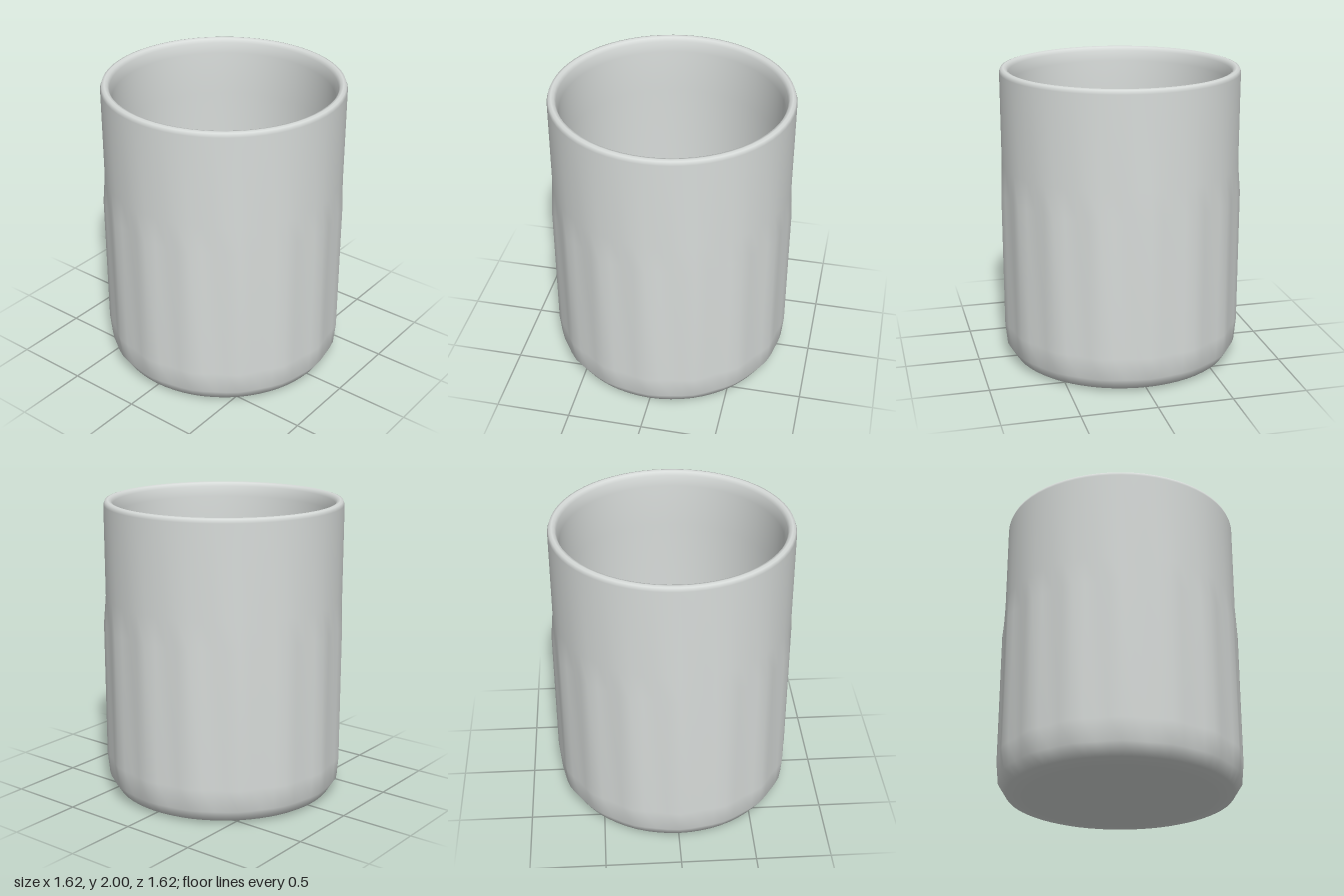
import * as THREE from 'three';
import { mergeVertices } from 'three/addons/utils/BufferGeometryUtils.js';
import { RoundedBoxGeometry } from 'three/addons/geometries/RoundedBoxGeometry.js';

const LEVEL = 0.8; // liquid surface height
const FLOOR = 0.16; // inside floor of the tumbler
const FLUTES = 16;

const material = (name, color) => {
  const m = new THREE.MeshStandardMaterial({ color });
  m.name = name;
  return m;
};

// Tumbler wall: a closed lathe profile whose lower outside is rippled into flutes
function tumblerGeometry() {
  // radius, height, flute depth
  const profile = [
    [0, 0, 0], [0.61, 0.003, 0], [0.745, 0.022, 0.001], [0.797, 0.1, 0.008],
    [0.812, 0.25, 0.02], [0.812, 1.17, 0.02], [0.795, 1.36, 0],
    [0.795, 1.97, 0], [0.786, 1.995, 0], [0.768, 2, 0], [0.748, 1.994, 0], [0.736, 1.97, 0],
    [0.722, 1.9, 0], [0.716, 1.6, 0], [0.716, 0.3, 0], [0.68, 0.2, 0], [0.58, FLOOR, 0], [0, FLOOR, 0],
  ];
  const segments = FLUTES * 4;
  const lathe = new THREE.LatheGeometry(profile.map(([r, y]) => new THREE.Vector2(r, y)), segments);
  const pos = lathe.attributes.position;
  for (let i = 0; i < pos.count; i++) {
    const depth = profile[i % profile.length][2];
    if (!depth) continue;
    const x = pos.getX(i), z = pos.getZ(i);
    const angle = Math.atan2(x, z);
    const r = Math.hypot(x, z);
    const scale = (r - depth * (0.5 - 0.5 * Math.cos(FLUTES * angle))) / r;
    pos.setX(i, x * scale);
    pos.setZ(i, z * scale);
  }
  lathe.deleteAttribute('uv');
  lathe.deleteAttribute('normal');
  const geometry = mergeVertices(lathe, 1e-5);
  geometry.computeVertexNormals();
  return geometry;
}

export function createModel() {
  const glass = material('glass grey', 0xd7dbd9);
  const amber = material('amber liquid', 0x7f4a1e);
  const ice = material('ice grey', 0xcdcecd);

  const model = new THREE.Group();
  model.name = 'tumblerWithDrink';
  const add = (name, geometry, mat) => {
    const mesh = new THREE.Mesh(geometry, mat);
    mesh.name = name;
    model.add(mesh);
    return mesh;
  };

  add('tumbler', tumblerGeometry(), glass);

  // Drink filling the inside
  const depth = LEVEL - 0.3;
  const liquid = add('liquid', new THREE.CylinderGeometry(0.714, 0.714, depth, 64), amber);
  liquid.position.y = LEVEL - depth / 2;

  // Tilted ice cubes: size, centre, then tilt about x, turn about y, tilt about z in degrees
  const cubes = [
    ['largeIceCube', 0.5, [-0.212, LEVEL, 0.16], [-13, -20, -18]],
    ['sunkenIceCube', 0.46, [0.168, LEVEL - 0.222, -0.16], [0, 22, -17]],
  ];
  for (const [name, size, centre, tilt] of cubes) {
    const cube = add(name, new RoundedBoxGeometry(size, size, size, 5, 0.075), ice);
    cube.position.set(...centre);
    cube.rotation.set(...tilt.map(THREE.MathUtils.degToRad), 'ZXY');
  }
  return model;
}
